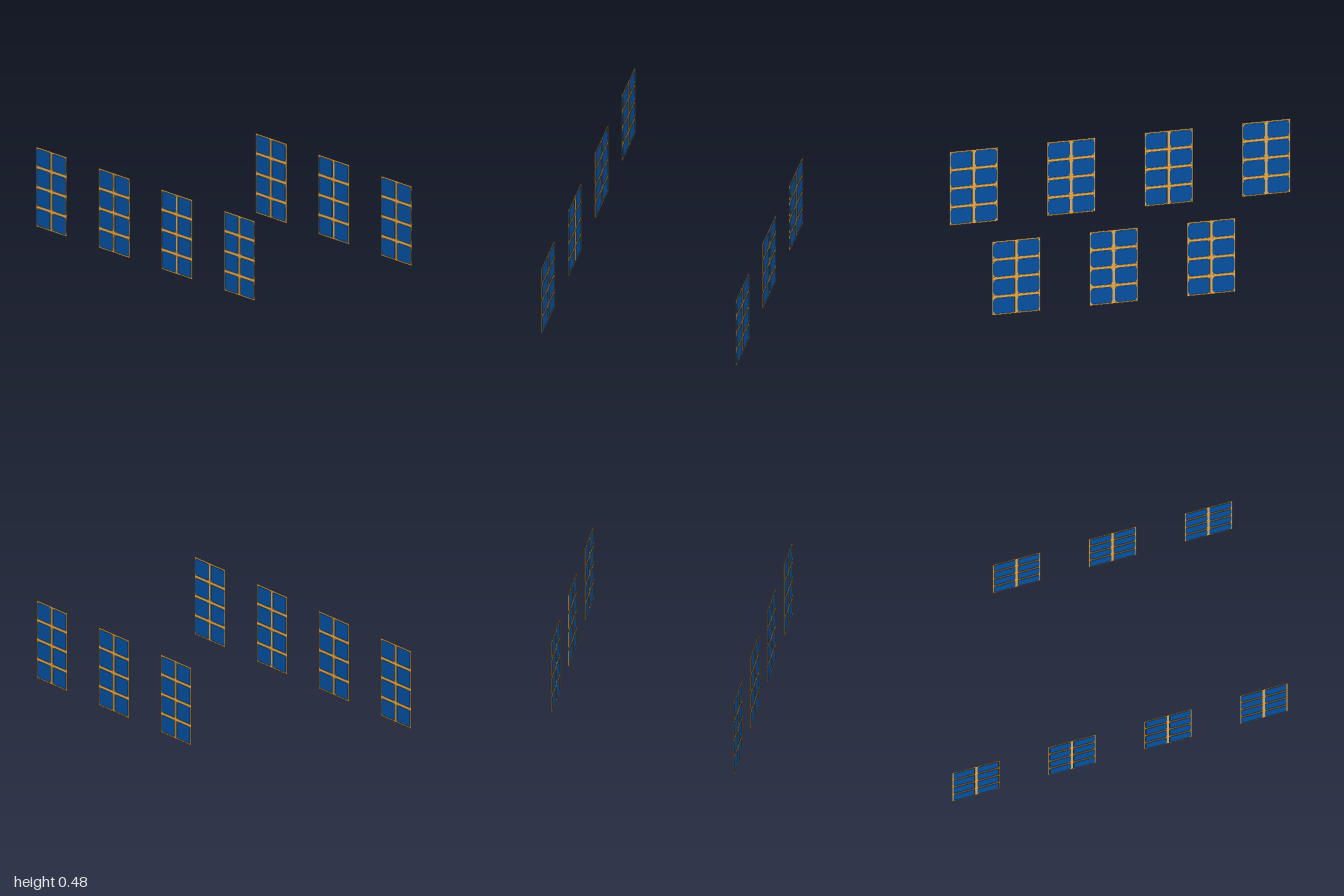
import * as THREE from 'three';

const W = 0.286, H = 0.476, DEPTH = 0.008; // one window
const COLS = 2, ROWS = 4, PANE_W = 0.129, PANE_H = 0.105, RADIUS = 0.024;

// Rounded pane centred on the origin
function paneShape() {
  const shape = new THREE.Shape();
  const x = PANE_W / 2 - RADIUS, y = PANE_H / 2 - RADIUS;
  [[x, y], [-x, y], [-x, -y], [x, -y]].forEach(([cx, cy], i) => {
    shape.absarc(cx, cy, RADIUS, i * Math.PI / 2, (i + 1) * Math.PI / 2);
  });
  return shape.closePath();
}

// Rectangular rim around a pane: a box without its front and back
function rimGeometry() {
  const box = new THREE.BoxGeometry(0.124, 0.1, DEPTH);
  box.setIndex([...box.index.array.slice(0, 24)]);
  box.clearGroups();
  return box;
}

export function createModel() {
  const frameMat = new THREE.MeshStandardMaterial({ color: 0xe6aa4e, side: THREE.DoubleSide });
  frameMat.name = 'tan frame';
  const glassMat = new THREE.MeshStandardMaterial({ color: 0x0350a0 });
  glassMat.name = 'blue glass';

  const sheetGeo = new THREE.PlaneGeometry(W, H);
  const rimGeo = rimGeometry();
  const paneGeo = new THREE.ShapeGeometry(paneShape(), 6);

  const model = new THREE.Group();
  model.name = 'windows';

  function addPart(parent, name, geometry, material, x, y, z, turn = 0) {
    const mesh = new THREE.Mesh(geometry, material);
    mesh.name = name;
    mesh.position.set(x, y, z);
    mesh.rotation.y = turn;
    parent.add(mesh);
  }

  function addWindow(name, x, z) {
    const group = new THREE.Group();
    group.name = name;
    group.position.set(x, 0, z);
    model.add(group);

    // Thin frame sheet
    addPart(group, 'frame', sheetGeo, frameMat, 0, H / 2, 0);

    // Glass on both faces, with a raised rim
    for (let c = 0; c < COLS; c++) {
      for (let r = 0; r < ROWS; r++) {
        const px = (c + 0.5) * W / COLS - W / 2, py = (r + 0.5) * H / ROWS;
        addPart(group, 'paneRim', rimGeo, frameMat, px, py, 0);
        addPart(group, 'paneFront', paneGeo, glassMat, px, py, 0.001);
        addPart(group, 'paneBack', paneGeo, glassMat, px, py, -0.001, Math.PI);
      }
    }
  }

  // Four windows in front, three behind
  [-0.857, -0.286, 0.286, 0.857].forEach((x, i) => {
    addWindow('frontWindow' + (i + 1), x, 0.578);
    if (i > 0) addWindow('backWindow' + i, x, -0.578);
  });
  return model;
}
